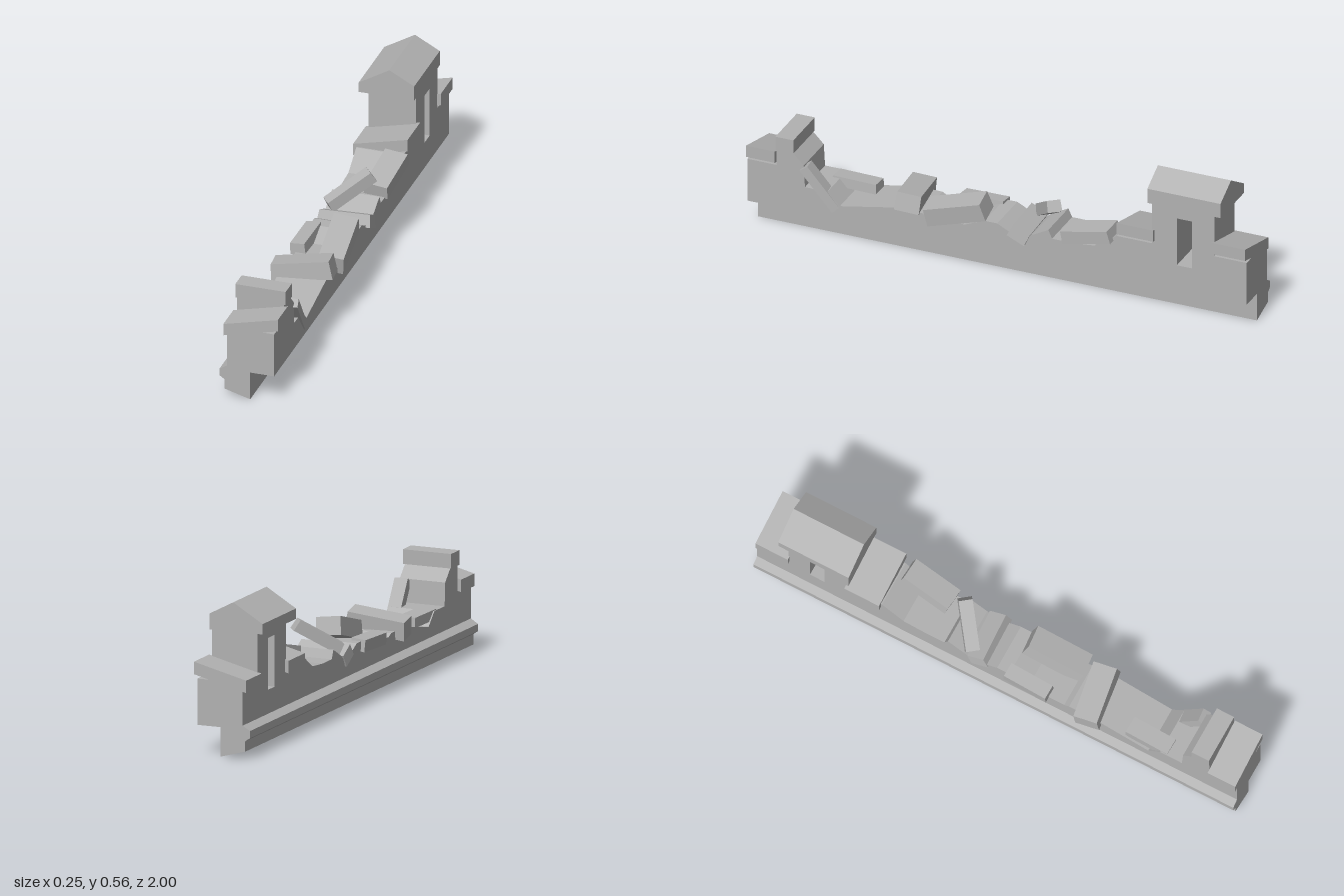
import * as THREE from 'three';

const stone = new THREE.MeshStandardMaterial({ color: 0xb2b2b2, flatShading: true });
stone.name = 'grey stone';

const shapeOf = (pts) => new THREE.Shape(pts.map(([a, b]) => new THREE.Vector2(a, b)));

export function createModel() {
  const model = new THREE.Group();

  const add = (name, geometry) => {
    const mesh = new THREE.Mesh(geometry, stone);
    mesh.name = name;
    model.add(mesh);
    return mesh;
  };

  // Cross-section in (x, y), run along z
  const runAlongZ = (name, pts, z0, z1) => {
    const g = new THREE.ExtrudeGeometry(shapeOf(pts), { depth: z1 - z0, bevelEnabled: false });
    add(name, g.translate(0, 0, z0));
  };

  // Slab of rubble, slightly narrowed at its top so the edges look chipped
  const slab = (name, size, position, rotation) => {
    const g = new THREE.BoxGeometry(...size);
    const p = g.attributes.position;
    for (let i = 0; i < p.count; i++) {
      if (p.getY(i) > 0) p.setXYZ(i, p.getX(i) * 0.94, p.getY(i), p.getZ(i) * 0.97);
    }
    const mesh = add(name, g);
    mesh.position.set(...position);
    mesh.rotation.set(...rotation, 'YXZ');
    return mesh;
  };

  // Footing with a sloped underside and a moulding on its outer side
  runAlongZ('footing', [
    [0, 0], [0, 0.125], [-0.09, 0.125], [-0.119, 0.107],
    [-0.119, 0.08], [-0.1, 0.067], [-0.1, 0.028],
  ], -1, 1);

  // Broken wall silhouette in (z, y), with the turret's slit
  const wall = shapeOf([
    [1, 0.111], [1, 0.285], [0.885, 0.285], [0.885, 0.35], [0.82, 0.35],
    [0.775, 0.305], [0.77, 0.217], [0.68, 0.217], [0.63, 0.168], [0.4, 0.212],
    [0.3, 0.21], [0.28, 0.2], [0.13, 0.2], [0.05, 0.233], [0, 0.233],
    [-0.05, 0.208], [-0.12, 0.2], [-0.14, 0.215], [-0.205, 0.25], [-0.22, 0.217],
    [-0.3, 0.217], [-0.39, 0.225], [-0.48, 0.285], [-0.62, 0.285],
    [-0.62, 0.45], [-0.87, 0.45], [-0.87, 0.285], [-1, 0.285], [-1, 0.111],
  ]);
  wall.holes.push(new THREE.Path([
    [-0.72, 0.215], [-0.72, 0.41], [-0.78, 0.41], [-0.78, 0.215],
  ].map(([z, y]) => new THREE.Vector2(z, y))));
  const wallGeometry = new THREE.ExtrudeGeometry(wall, { depth: 0.183, bevelEnabled: false });
  add('wall', wallGeometry.rotateY(-Math.PI / 2).translate(0.093, 0, 0));

  // Slanted coping stones
  const coping = [[-0.104, 0.248], [0.107, 0.3], [0.107, 0.347], [-0.104, 0.295]];
  for (const [z0, z1] of [[0.885, 1], [-0.63, -0.485], [-1, -0.865]]) {
    runAlongZ('coping', coping, z0, z1);
  }

  // Block on the broken pier
  const block = add('pierBlock', new THREE.BoxGeometry(0.195, 0.055, 0.072));
  block.position.set(0.0015, 0.3775, 0.85);

  // Gabled turret roof
  runAlongZ('turretRoof', [
    [-0.122, 0.449], [0.093, 0.449], [0.093, 0.508], [-0.003, 0.559], [-0.122, 0.488],
  ], -0.895, -0.602);

  // Fallen slabs
  slab('leaningSlab', [0.055, 0.036, 0.2], [0.075, 0.224, 0.711], [-0.89, 0.1, 0]);
  slab('flatSlab', [0.07, 0.038, 0.18], [-0.05, 0.203, 0.62], [0, -0.03, 0.05]);
  slab('crossSlab', [0.232, 0.07, 0.095], [-0.008, 0.229, 0.37], [-0.1, 0.13, 0.14]);
  slab('largeSlab', [0.1, 0.07, 0.235], [0.061, 0.242, 0.172], [0.27, 0.07, -0.12]);
  slab('edgeSlab', [0.06, 0.045, 0.18], [-0.08, 0.216, 0.125], [0.03, -0.03, 0.1]);
  slab('smallCrossSlab', [0.205, 0.048, 0.075], [0.006, 0.206, -0.085], [-0.45, 0.04, 0.02]);
  slab('slopingSlab', [0.095, 0.05, 0.205], [0.066, 0.263, -0.362], [0.24, -0.08, -0.08]);

  // Slab propped diagonally between two points
  const from = new THREE.Vector3(-0.075, 0.235, -0.11);
  const to = new THREE.Vector3(0.06, 0.335, -0.215);
  const propped = slab('proppedSlab', [0.055, 0.045, from.distanceTo(to)], [0, 0, 0], [0, 0, 0]);
  propped.position.copy(from).lerp(to, 0.5);
  propped.lookAt(to);

  return model;
}
